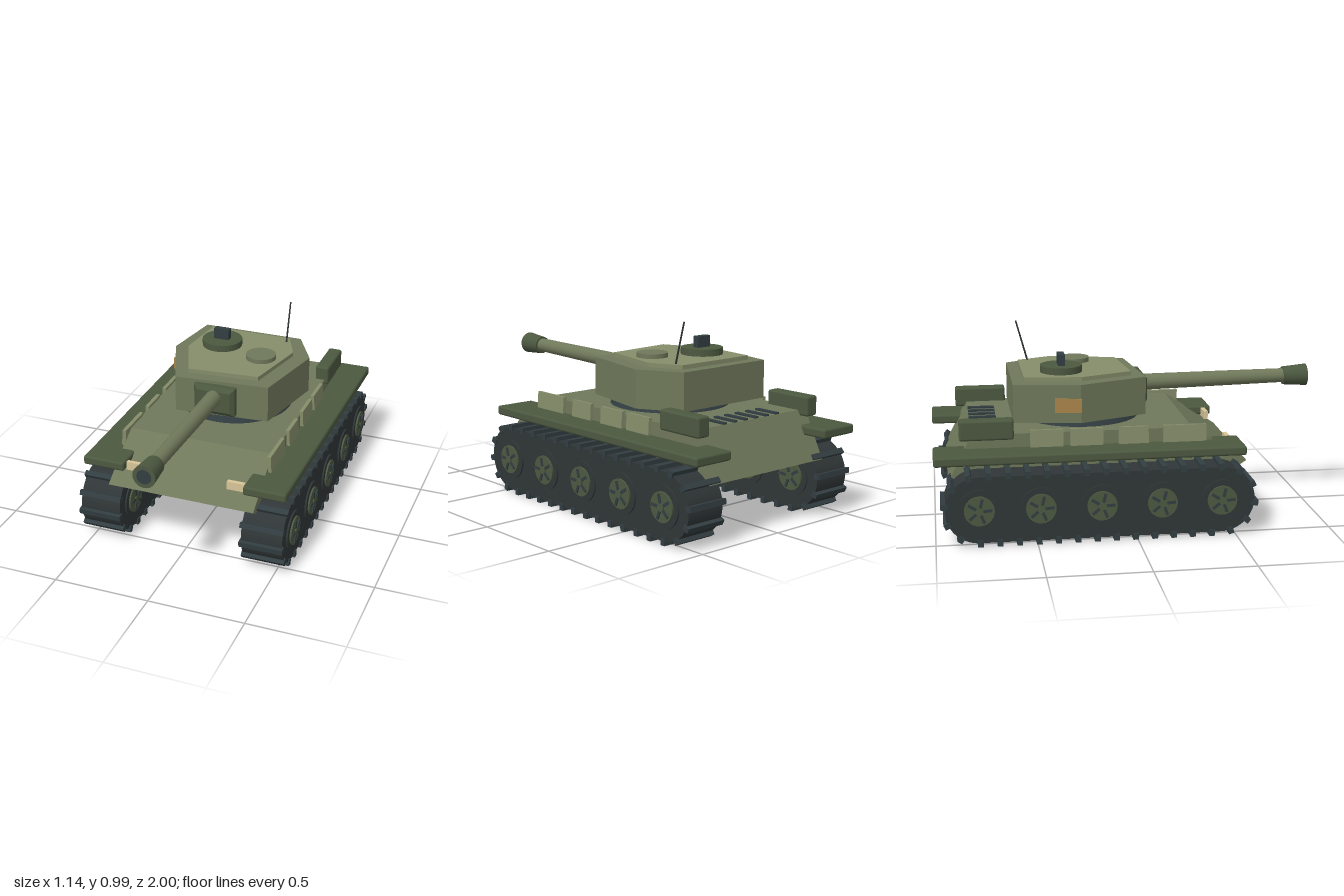
import * as THREE from 'three';
import { RoundedBoxGeometry } from 'three/addons/geometries/RoundedBoxGeometry.js';

const mat = (color) => new THREE.MeshStandardMaterial({ color });
const olive = mat(0x6f785a), paleOlive = mat(0x858d6a), darkGreen = mat(0x4c5840);
const rubber = mat(0x303637), steel = mat(0x323d41), lamp = mat(0xd8c698), amber = mat(0xa8844a);

function add(parent, name, geometry, material, x = 0, y = 0, z = 0) {
  const mesh = new THREE.Mesh(geometry, material);
  mesh.name = name;
  mesh.position.set(x, y, z);
  parent.add(mesh);
  return mesh;
}

const box = (w, h, d) => new THREE.BoxGeometry(w, h, d);
const rounded = (w, h, d, r) => new RoundedBoxGeometry(w, h, d, 2, r);
const polygon = (points) => new THREE.Shape(points.map(([a, b]) => new THREE.Vector2(a, b)));

// Side profile (z, y) spread across x, centred
function acrossX(shape, width) {
  const geo = new THREE.ExtrudeGeometry(shape, { depth: width, bevelEnabled: false, curveSegments: 16 });
  return geo.translate(0, 0, -width / 2).rotateY(-Math.PI / 2);
}

// Plan outline (x, z) with its base at y = 0
function plate(points, height) {
  const geo = new THREE.ExtrudeGeometry(polygon(points), { depth: height, bevelEnabled: false });
  return geo.rotateX(Math.PI / 2).translate(0, height, 0);
}

// Cylinder running between two points
function rod(parent, name, material, from, to, r0, r1, sides = 24) {
  const a = new THREE.Vector3(...from), b = new THREE.Vector3(...to);
  const dir = b.clone().sub(a);
  const mid = a.clone().add(b).multiplyScalar(0.5);
  const mesh = add(parent, name, new THREE.CylinderGeometry(r1, r0, dir.length(), sides), material, mid.x, mid.y, mid.z);
  mesh.quaternion.setFromUnitVectors(new THREE.Vector3(0, 1, 0), dir.normalize());
  return mesh;
}

const TRACK = { front: 0.425, back: -0.785, y: 0.185, r: 0.168, x: 0.4375 };

// Point and outward angle at distance s round the track loop
function onLoop(s) {
  const { front, back, y, r } = TRACK;
  const run = front - back, arc = Math.PI * r;
  if (s < run) return [back + s, y + r, Math.PI / 2];
  s -= run;
  if (s < arc) {
    const a = Math.PI / 2 - s / r;
    return [front + r * Math.cos(a), y + r * Math.sin(a), a];
  }
  s -= arc;
  if (s < run) return [front - s, y - r, -Math.PI / 2];
  const a = -Math.PI / 2 - (s - run) / r;
  return [back + r * Math.cos(a), y + r * Math.sin(a), a];
}

function buildTrack(side) {
  const { front, back, y, r, x } = TRACK;
  const track = new THREE.Group();
  track.name = side > 0 ? 'leftTrack' : 'rightTrack';

  const belt = new THREE.Shape();
  belt.absarc(front, y, r, -Math.PI / 2, Math.PI / 2, false);
  belt.absarc(back, y, r, Math.PI / 2, Math.PI * 1.5, false);
  add(track, 'belt', acrossX(belt, 0.215), rubber, side * x);

  // Cleats round the belt
  const count = 36, length = 2 * (front - back) + 2 * Math.PI * r;
  const cleatGeo = box(0.228, 0.034, 0.028);
  for (let i = 0; i < count; i++) {
    const [z, cy, a] = onLoop(((i + 0.5) / count) * length);
    add(track, 'cleat', cleatGeo, steel, side * x, cy + 0.003 * Math.sin(a), z + 0.003 * Math.cos(a)).rotation.x = Math.PI / 2 - a + Math.PI / 2 - Math.PI / 2;
  }

  // Road wheels, showing on both faces of the belt
  const disc = (radius, width) => new THREE.CylinderGeometry(radius, radius, width, 28).rotateZ(Math.PI / 2);
  const rim = disc(0.105, 0.232), hub = disc(0.075, 0.25), cap = disc(0.02, 0.264);
  const spokeGeo = box(0.262, 0.056, 0.014).translate(0, 0.036, 0);
  for (let i = 0; i < 5; i++) {
    const wheel = new THREE.Group();
    wheel.name = 'roadWheel';
    wheel.position.set(side * x, y, front + ((back - front) * i) / 4);
    add(wheel, 'wheelRim', rim, rubber);
    add(wheel, 'wheelHub', hub, darkGreen);
    add(wheel, 'wheelCap', cap, darkGreen);
    for (let k = 0; k < 5; k++) {
      add(wheel, 'spoke', spokeGeo, steel).rotation.x = 0.25 + (k * Math.PI * 2) / 5;
    }
    track.add(wheel);
  }
  return track;
}

function buildHull() {
  const hull = new THREE.Group();
  hull.name = 'hull';
  const profile = polygon([[0.5, 0.285], [0.585, 0.34], [0.3, 0.525], [-0.81, 0.525], [-0.93, 0.285]]);
  add(hull, 'hullBody', acrossX(profile, 0.78), olive);

  const panels = [[0.37, 0.15], [0.075, -0.075], [-0.155, -0.32], [-0.355, -0.52]];
  for (const side of [1, -1]) {
    add(hull, 'fender', rounded(0.225, 0.048, 1.55, 0.012), darkGreen, side * 0.4325, 0.432, -0.225);
    add(hull, 'rearStowageBox', rounded(0.075, 0.102, 0.27, 0.012), darkGreen, side * 0.373, 0.549, -0.735);
    add(hull, 'headlight', box(0.092, 0.044, 0.022), lamp, side * 0.272, 0.427, 0.505);
    // Armour panels leaning on the hull sides
    for (const [z0, z1] of panels) {
      add(hull, 'sidePanel', box(0.02, 0.095, z0 - z1), paleOlive, side * 0.397, 0.494, (z0 + z1) / 2).rotation.z = side * 0.06;
    }
  }
  // Engine deck vents
  for (let i = 0; i < 6; i++) {
    add(hull, 'engineVent', box(0.024, 0.016, 0.14), steel, -0.183 + i * 0.072, 0.526, -0.74);
  }
  return hull;
}

function buildTurret() {
  const turret = new THREE.Group();
  turret.name = 'turret';
  add(turret, 'turretRing', new THREE.CylinderGeometry(0.29, 0.308, 0.04, 40), steel, 0, 0.543, -0.225);

  const outline = [[-0.31, -0.595], [0.245, -0.595], [0.365, -0.375], [0.275, 0.045], [-0.222, 0.09], [-0.365, -0.26]];
  const roof = [[-0.253, -0.535], [0.2, -0.535], [0.275, -0.365], [0.2, -0.013], [-0.175, 0.02], [-0.283, -0.245]];
  add(turret, 'turretBody', plate(outline, 0.195), olive, 0, 0.56, 0);
  add(turret, 'turretRoof', plate(roof, 0.022), paleOlive, 0, 0.755, 0);

  // Hatches, periscope and aerial
  add(turret, 'commanderHatch', new THREE.CylinderGeometry(0.108, 0.108, 0.038, 32), darkGreen, -0.12, 0.793, -0.335);
  add(turret, 'periscope', box(0.084, 0.06, 0.035), steel, -0.12, 0.84, -0.335);
  add(turret, 'loaderHatch', new THREE.CylinderGeometry(0.08, 0.08, 0.026, 32), olive, 0.135, 0.787, -0.24);
  rod(turret, 'aerial', rubber, [0.198, 0.77, -0.482], [0.198, 0.99, -0.542], 0.005, 0.004, 8);

  // Marker panel lying on the right rear face
  add(turret, 'markerPanel', box(0.016, 0.07, 0.135), amber, -0.357, 0.65, -0.322).rotation.y = -Math.atan2(0.055, 0.335);

  // Mantlet: a block with a chamfered front
  const gun = new THREE.Group();
  gun.name = 'gun';
  const mantlet = new THREE.ExtrudeGeometry(polygon([[-0.09, -0.057], [0.09, -0.057], [0.09, 0.057], [-0.09, 0.057]]),
    { depth: 0.03, bevelEnabled: true, bevelSize: 0.022, bevelThickness: 0.018, bevelSegments: 1 });
  add(gun, 'mantlet', mantlet, darkGreen, 0, 0.66, 0.07);
  rod(gun, 'barrel', olive, [0, 0.679, 0.06], [0, 0.692, 0.9], 0.043, 0.037);
  rod(gun, 'muzzle', darkGreen, [0, 0.69, 0.87], [0, 0.692, 0.998], 0.048, 0.058);
  rod(gun, 'bore', steel, [0, 0.692, 0.96], [0, 0.692, 1.0], 0.037, 0.037);
  turret.add(gun);
  return turret;
}

export function createModel() {
  const model = new THREE.Group();
  model.name = 'tank';
  model.add(buildHull(), buildTrack(1), buildTrack(-1), buildTurret());
  return model;
}
